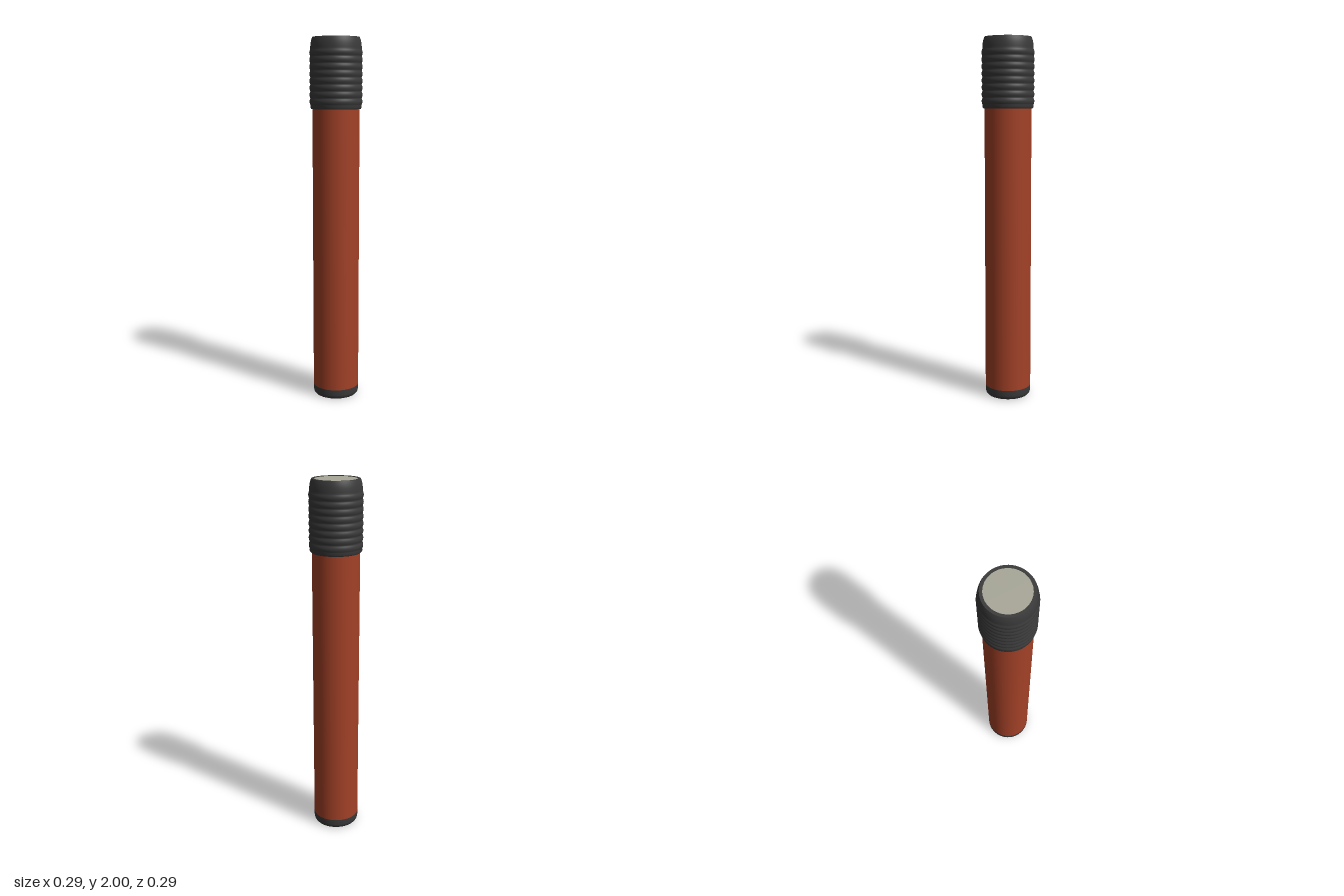
import * as THREE from 'three';

const SEGMENTS = 64;
const rubber = new THREE.MeshStandardMaterial({ name: 'darkRubber', color: 0x3a3a3a });
const paint = new THREE.MeshStandardMaterial({ name: 'redBrownPaint', color: 0xa34127 });
const lensGrey = new THREE.MeshStandardMaterial({ name: 'paleGrey', color: 0xa8a798 });

// Lathe from smooth profile runs; the joint between two runs stays sharp.
function turned(name, material, runs) {
  const group = new THREE.Group();
  group.name = name;
  runs.forEach((run, i) => {
    const points = run.map(([r, y]) => new THREE.Vector2(r, y));
    const geometry = new THREE.LatheGeometry(points, SEGMENTS);
    geometry.normalizeNormals();
    const mesh = new THREE.Mesh(geometry, material);
    mesh.name = `${name}Surface${i + 1}`;
    group.add(mesh);
  });
  return group;
}

export function createModel() {
  const model = new THREE.Group();
  model.name = 'cylindricalTube';

  // Bottom cap with a rounded edge
  model.add(turned('bottomCap', rubber, [
    [[0, 0], [0.108, 0]],
    [[0.108, 0], [0.118, 0.003], [0.125, 0.012], [0.128, 0.025], [0.128, 0.055]],
  ]));

  // Long painted barrel
  model.add(turned('barrel', paint, [[[0.128, 0.055], [0.128, 1.625]]]));

  // Ribbed grip: a row of rounded ridges between two plain bands
  const ridges = 8, start = 1.64, pitch = 0.037, steps = 8;
  const side = [[0.134, 1.62], [0.139, 1.627]];
  for (let i = 0; i <= ridges * steps; i++) {
    const bulge = Math.abs(Math.sin((i / steps) * Math.PI));
    side.push([0.1385 + 0.005 * bulge, start + (i / steps) * pitch]);
  }
  side.push([0.1385, 1.945], [0.137, 1.965], [0.133, 1.985], [0.127, 2]);
  model.add(turned('ribbedGrip', rubber, [
    [[0.12, 1.62], [0.134, 1.62]],
    side,
    [[0.127, 2], [0.112, 2]],
    [[0.112, 2], [0.112, 1.99]],
  ]));

  // Pale disc set into the top rim
  const disc = new THREE.Mesh(new THREE.CircleGeometry(0.112, SEGMENTS), lensGrey);
  disc.name = 'topDisc';
  disc.rotation.x = -Math.PI / 2;
  disc.position.y = 1.998;
  model.add(disc);

  return model;
}
